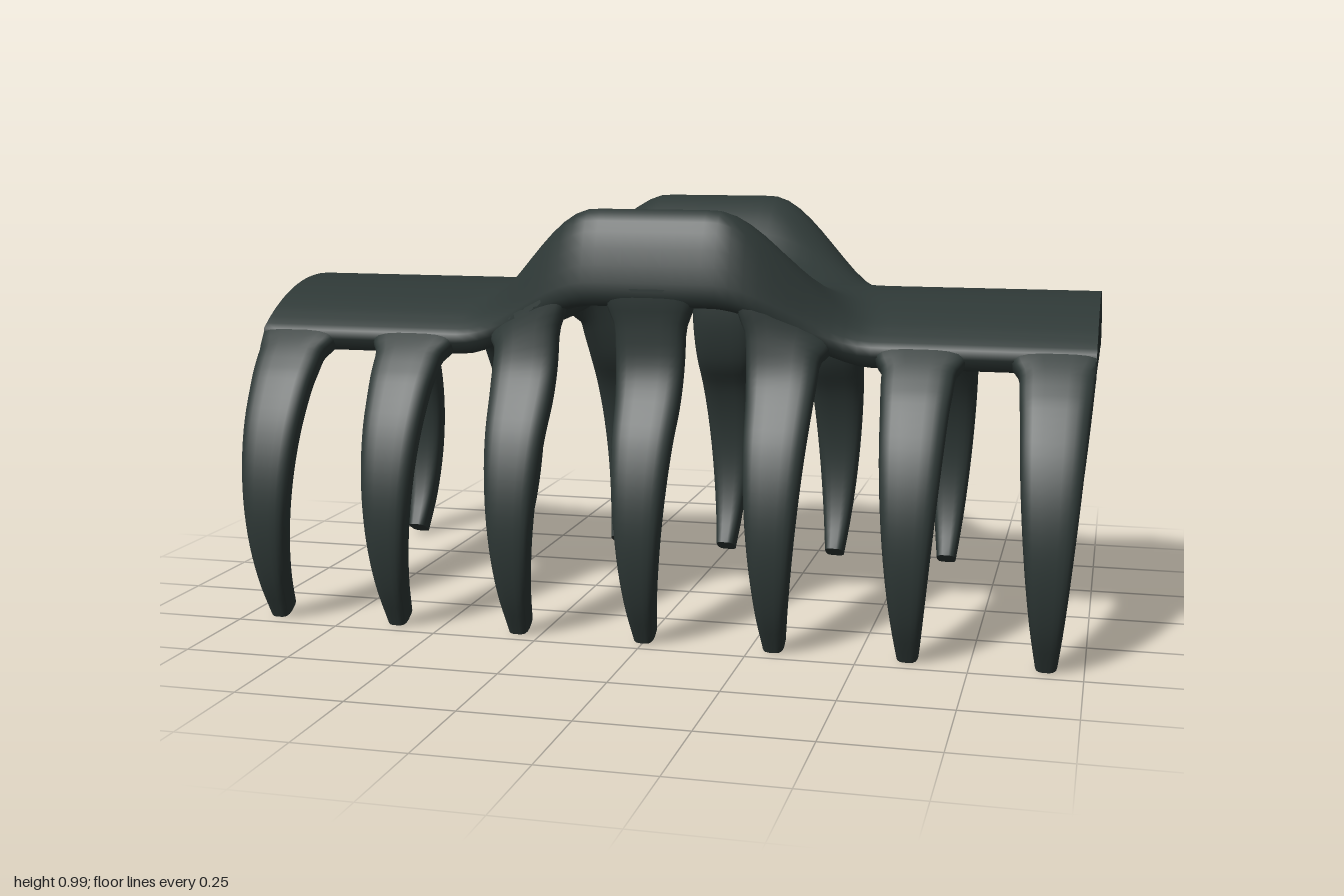
import * as THREE from 'three';

// Half profile from the crown (90 deg) to the tooth tips (-30 deg), around a circle
const ANGLES = [90, 83, 76, 69, 63, 59, 55, 48, 42, 36, 25, 14, 3, -8, -19, -30];
const LAST = ANGLES.length - 1;
const EDGE = 6.5; // profile index where the shell ends and the teeth begin
const TIP = LAST;

// Raised grip profile [z, y]; it rejoins the circle after the ninth point
const GRIP_OUTER = [[0, 0.805], [0.06, 0.815], [0.14, 0.86], [0.24, 0.95], [0.33, 0.997],
  [0.38, 0.95], [0.41, 0.83], [0.404, 0.74], [0.405, 0.65]];
const GRIP_INNER = [[0, 0.74], [0.065, 0.747], [0.16, 0.79], [0.24, 0.865], [0.31, 0.92],
  [0.337, 0.89], [0.35, 0.82], [0.346, 0.72], [0.352, 0.63]];

function profile(radius, grip = []) {
  return new THREE.CatmullRomCurve3(ANGLES.map((deg, i) => {
    const a = THREE.MathUtils.degToRad(deg);
    const [z, y] = grip[i] || [radius * Math.cos(a), 0.267 + radius * Math.sin(a)];
    return new THREE.Vector3(0, y, z);
  }), false, 'catmullrom', 0.5);
}

const outer = { plain: profile(0.53), grip: profile(0.53, GRIP_OUTER) };
const inner = { plain: profile(0.465), grip: profile(0.465, GRIP_INNER) };

// Point of the clip: x across, i along the profile (negative = back), d from -1 inside to 1 outside
function pointAt(x, i, d) {
  const w = 1 - THREE.MathUtils.smoothstep(Math.abs(x), 0.14, 0.5);
  const t = Math.min(1, Math.abs(i) / LAST);
  const blend = (c) => c.plain.getPoint(t).lerp(c.grip.getPoint(t), w);
  const p = blend(inner).lerp(blend(outer), (d + 1) / 2);
  return new THREE.Vector3(x, p.y, i < 0 ? -p.z : p.z);
}

// Skin over equal loops, with flat caps on both ends
function loft(loops) {
  const n = loops[0].length;
  const positions = [];
  const index = [];
  const add = (loop) => loop.forEach((p) => positions.push(p.x, p.y, p.z));
  loops.forEach(add);
  for (let k = 0; k < loops.length - 1; k++) {
    for (let j = 0; j < n; j++) {
      const a = k * n + j;
      const b = k * n + (j + 1) % n;
      index.push(a, b, b + n, a, b + n, a + n);
    }
  }
  [loops[0], loops[loops.length - 1]].forEach((loop, end) => {
    const s = positions.length / 3;
    add(loop);
    for (let j = 0; j < n / 2 - 1; j++) {
      const [a, b, c, d] = [s + j, s + j + 1, s + n - 2 - j, s + n - 1 - j];
      if (end) index.push(a, b, c, a, c, d);
      else index.push(a, c, b, a, d, c);
    }
  });
  const geometry = new THREE.BufferGeometry();
  geometry.setAttribute('position', new THREE.Float32BufferAttribute(positions, 3));
  geometry.setIndex(index);
  geometry.computeVertexNormals();
  return geometry;
}

// Curved shell with the two raised grips and a rounded lower rim
function shellGeometry() {
  const top = [[-EDGE, 0.5]];
  for (let k = -20; k <= 20; k++) top.push([(k / 20) * 6.3, 1]);
  top.push([EDGE, 0.5]);
  const section = [...top, ...top.map(([i, d]) => [i, -d]).reverse()];
  const loops = [];
  for (let k = 0; k <= 64; k++) {
    const x = -1 + k / 32;
    loops.push(section.map(([i, d]) => pointAt(x, i, d)));
  }
  return loft(loops);
}

// Tapered curved tooth with a small fillet at its root
function toothGeometry(centre, side) {
  const loops = [];
  const steps = 32;
  const sides = 20;
  for (let k = 0; k <= steps; k++) {
    const i = 6.1 + (TIP - 6.1) * (k / steps);
    const q = Math.max(0, (i - EDGE) / (TIP - EDGE));
    const fillet = 0.022 * Math.max(0, 1 - q * 12) ** 2;
    const half = 0.025 + 0.058 * (1 - q ** 1.7) + fillet;
    const loop = [];
    for (let j = 0; j < sides; j++) {
      const a = ((j + 0.5) / sides) * Math.PI * 2;
      const soft = (v) => Math.sign(v) * Math.abs(v) ** 0.6;
      const x = THREE.MathUtils.clamp(centre + side * half * soft(Math.cos(a)), -1, 1);
      loop.push(pointAt(x, side * i, soft(Math.sin(a))));
    }
    loops.push(loop);
  }
  return loft(loops);
}

export function createModel() {
  const group = new THREE.Group();
  group.name = 'hairClaw';
  const plastic = new THREE.MeshStandardMaterial({ color: 0x2e3836 });
  plastic.name = 'dark slate plastic';

  const add = (name, geometry) => {
    const mesh = new THREE.Mesh(geometry, plastic);
    mesh.name = name;
    group.add(mesh);
  };

  add('shell', shellGeometry());
  for (let k = -3; k <= 3; k++) {
    add('frontTooth', toothGeometry((0.917 * k) / 3, 1));
    add('backTooth', toothGeometry((0.917 * k) / 3, -1));
  }
  return group;
}
